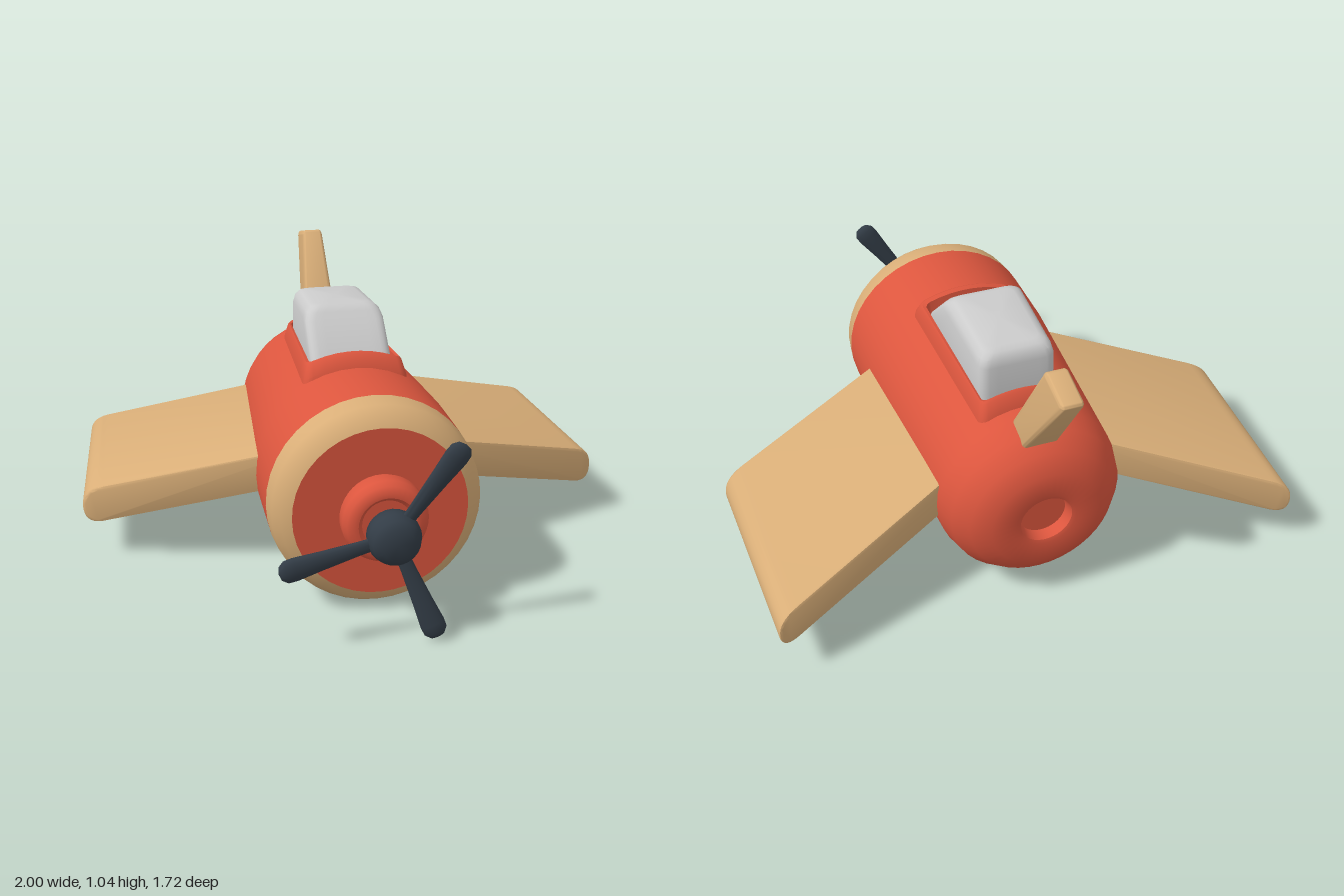
import * as THREE from 'three';
import { toCreasedNormals } from 'three/addons/utils/BufferGeometryUtils.js';
import { RoundedBoxGeometry } from 'three/addons/geometries/RoundedBoxGeometry.js';

const AXIS_Y = 0.378; // height of the fuselage axis
const mat = (color) => new THREE.MeshStandardMaterial({ color });
const lerp = THREE.MathUtils.lerp;

function addMesh(parent, name, geometry, material, crease = 0.7) {
  const mesh = new THREE.Mesh(toCreasedNormals(geometry, crease), material);
  mesh.name = name;
  parent.add(mesh);
  return mesh;
}

// Turned part around the fuselage axis; points are [radius, z], back to front
function turned(points, segments = 40) {
  return new THREE.LatheGeometry(points.map(([r, z]) => new THREE.Vector2(r, z)), segments)
    .rotateX(Math.PI / 2).translate(0, AXIS_Y, 0);
}

// Rounded trapezoid in plan; yAt(x, z) gives the height of each point
function planRing(halfFront, halfBack, zFront, zBack, r, yAt) {
  const corners = [[halfFront - r, zFront - r], [halfBack - r, zBack + r],
    [r - halfBack, zBack + r], [r - halfFront, zFront - r]];
  const at = (c, a) => [corners[c % 4][0] + r * Math.sin(a), corners[c % 4][1] + r * Math.cos(a)];
  const ring = [];
  const push = (x, z) => ring.push(new THREE.Vector3(x, yAt(x, z), z));
  for (let c = 0; c < 4; c++) {
    const a0 = c * Math.PI / 2, a1 = a0 + Math.PI / 2;
    for (let k = 0; k <= 4; k++) push(...at(c, lerp(a0, a1, k / 4)));
    const p = at(c, a1), q = at(c + 1, a1);
    for (let k = 1; k < 7; k++) push(lerp(p[0], q[0], k / 7), lerp(p[1], q[1], k / 7));
  }
  return ring;
}

// Skin over successive closed rings, with an optional cap on the last one
function loft(rings, cap) {
  const n = rings[0].length, index = [];
  const pts = rings.flat();
  for (let i = 0; i < rings.length - 1; i++) {
    for (let j = 0; j < n; j++) {
      const a = i * n + j, b = i * n + (j + 1) % n;
      index.push(a, b, b + n, a, b + n, a + n);
    }
  }
  if (cap) {
    const last = rings[rings.length - 1], base = pts.length - n;
    pts.push(last.reduce((s, p) => s.add(p), new THREE.Vector3()).divideScalar(n));
    for (let j = 0; j < n; j++) index.push(base + j, base + (j + 1) % n, pts.length - 1);
  }
  const g = new THREE.BufferGeometry().setFromPoints(pts);
  g.setIndex(index);
  return g;
}

// Move each vertex by a rule
function remap(geometry, rule) {
  const p = geometry.attributes.position, v = new THREE.Vector3();
  for (let i = 0; i < p.count; i++) {
    rule(v.fromBufferAttribute(p, i));
    p.setXYZ(i, v.x, v.y, v.z);
  }
  return geometry;
}

// Swept, drooping wing: front section extruded backwards, then sheared
function wing(side) {
  const s = new THREE.Shape();
  s.moveTo(side * 0.2, 0.503);
  s.lineTo(side * 0.92, 0.295);
  s.bezierCurveTo(side * 0.98, 0.277, side * 1.0, 0.245, side * 1.0, 0.205);
  s.bezierCurveTo(side * 1.0, 0.16, side * 0.98, 0.135, side * 0.93, 0.148);
  s.lineTo(side * 0.2, 0.362);
  s.closePath();
  const bevel = 0.01, chord = 0.745;
  const g = new THREE.ExtrudeGeometry(s, {
    depth: chord - 2 * bevel, curveSegments: 8,
    bevelThickness: bevel, bevelSize: bevel, bevelOffset: -bevel, bevelSegments: 2,
  });
  return remap(g, (v) => {
    const x = Math.abs(v.x), t = (v.z + bevel) / chord;
    v.z = 0.23 - 0.365 * (x - 0.37) - chord * (1 - t);
    v.x = side * (x - 0.04 * (1 - t) * (x - 0.2) / 0.8);
  });
}

export function createModel() {
  const plane = new THREE.Group();
  plane.name = 'toyPlane';
  const red = mat(0xdc563e), tan = mat(0xd9ae78), dark = mat(0x333d47), grey = mat(0xcccccc);

  // Fuselage with a round recess in the tail end
  addMesh(plane, 'fuselage', turned([[0, -0.655], [0.085, -0.655], [0.095, -0.695], [0.11, -0.7],
    [0.2, -0.695], [0.265, -0.655], [0.312, -0.595], [0.333, -0.52], [0.375, 0.22], [0.375, 0.48]]), red);

  // Cowl ring, front plate and nose
  addMesh(plane, 'cowlRing', turned([[0.375, 0.48], [0.366, 0.55], [0.34, 0.59], [0.305, 0.61]]), tan);
  addMesh(plane, 'nose', turned([[0.305, 0.61], [0.14, 0.61], [0.148, 0.63], [0.148, 0.68],
    [0.137, 0.705], [0.115, 0.717], [0.1, 0.717], [0.085, 0.7], [0, 0.7]]), red);

  // Propeller
  const propeller = new THREE.Group();
  propeller.name = 'propeller';
  plane.add(propeller);
  addMesh(propeller, 'hub', turned([[0.045, 0.69], [0.045, 0.745], [0.07, 0.747], [0.086, 0.765],
    [0.09, 0.79], [0.09, 0.815], [0.08, 0.845], [0.055, 0.862], [0, 0.865]], 24), dark, 1);
  const bladeProfile = [[0.022, 0.04], [0.025, 0.12], [0.034, 0.25], [0.042, 0.34],
    [0.04, 0.37], [0.025, 0.388], [0, 0.394]].map(([r, y]) => new THREE.Vector2(r, y));
  for (const degrees of [56, 191, 292]) {
    const g = new THREE.LatheGeometry(bladeProfile, 16).scale(1, 1, 0.5)
      .rotateX(0.1).rotateZ(THREE.MathUtils.degToRad(degrees - 90)).translate(0, AXIS_Y, 0.8);
    addMesh(propeller, 'blade', g, dark, 1);
  }

  // Wings
  addMesh(plane, 'leftWing', wing(1), tan);
  addMesh(plane, 'rightWing', wing(-1), tan);

  // Tail fin, leaning back and narrowing upwards
  const fin = remap(new RoundedBoxGeometry(0.13, 0.45, 0.13, 3, 0.018), (v) => {
    const t = (v.y / 0.45 + 0.5) * 1.25 - 0.25, s = v.z / 0.13 + 0.5;
    v.x *= lerp(1, 0.6, t);
    v.y = lerp(lerp(0.67, 0.71, s), lerp(1.01, 1.048, s), t);
    v.z = lerp(lerp(-0.63, -0.52, s), lerp(-0.865, -0.71, s), t);
  });
  addMesh(plane, 'tailFin', fin, tan);

  // Cockpit rim that follows the curve of the fuselage
  const bodyRadius = (z) => lerp(0.333, 0.375, Math.min(1, (z + 0.52) / 0.74));
  const above = (offset) => (x, z) =>
    AXIS_Y + Math.sqrt((bodyRadius(z) + offset) ** 2 - x * x);
  addMesh(plane, 'cockpitRim', loft([
    planRing(0.197, 0.17, 0.203, -0.483, 0.03, above(-0.03)),
    planRing(0.19, 0.163, 0.195, -0.475, 0.03, above(0.01)),
    planRing(0.178, 0.152, 0.165, -0.453, 0.025, above(0.047)),
    planRing(0.172, 0.147, 0.155, -0.446, 0.025, above(0.053)),
    planRing(0.16, 0.14, 0.14, -0.435, 0.02, above(0.047)),
    planRing(0.152, 0.135, 0.13, -0.425, 0.02, above(-0.03)),
  ]), red, 0.6);

  // Canopy with a sloping windscreen and a roof that falls slightly to the back
  const roof = (y) => (x, z) => y + 0.06 * (z + 0.05);
  addMesh(plane, 'canopy', loft([
    planRing(0.15, 0.14, 0.15, -0.412, 0.035, () => 0.68),
    planRing(0.15, 0.14, 0.13, -0.41, 0.035, () => 0.74),
    planRing(0.148, 0.138, -0.005, -0.405, 0.035, roof(0.866)),
    planRing(0.138, 0.13, -0.03, -0.398, 0.035, roof(0.895)),
    planRing(0.12, 0.114, -0.05, -0.382, 0.035, roof(0.913)),
    planRing(0.1, 0.095, -0.07, -0.36, 0.03, roof(0.919)),
  ], true), grey, 0.65);

  return plane;
}
